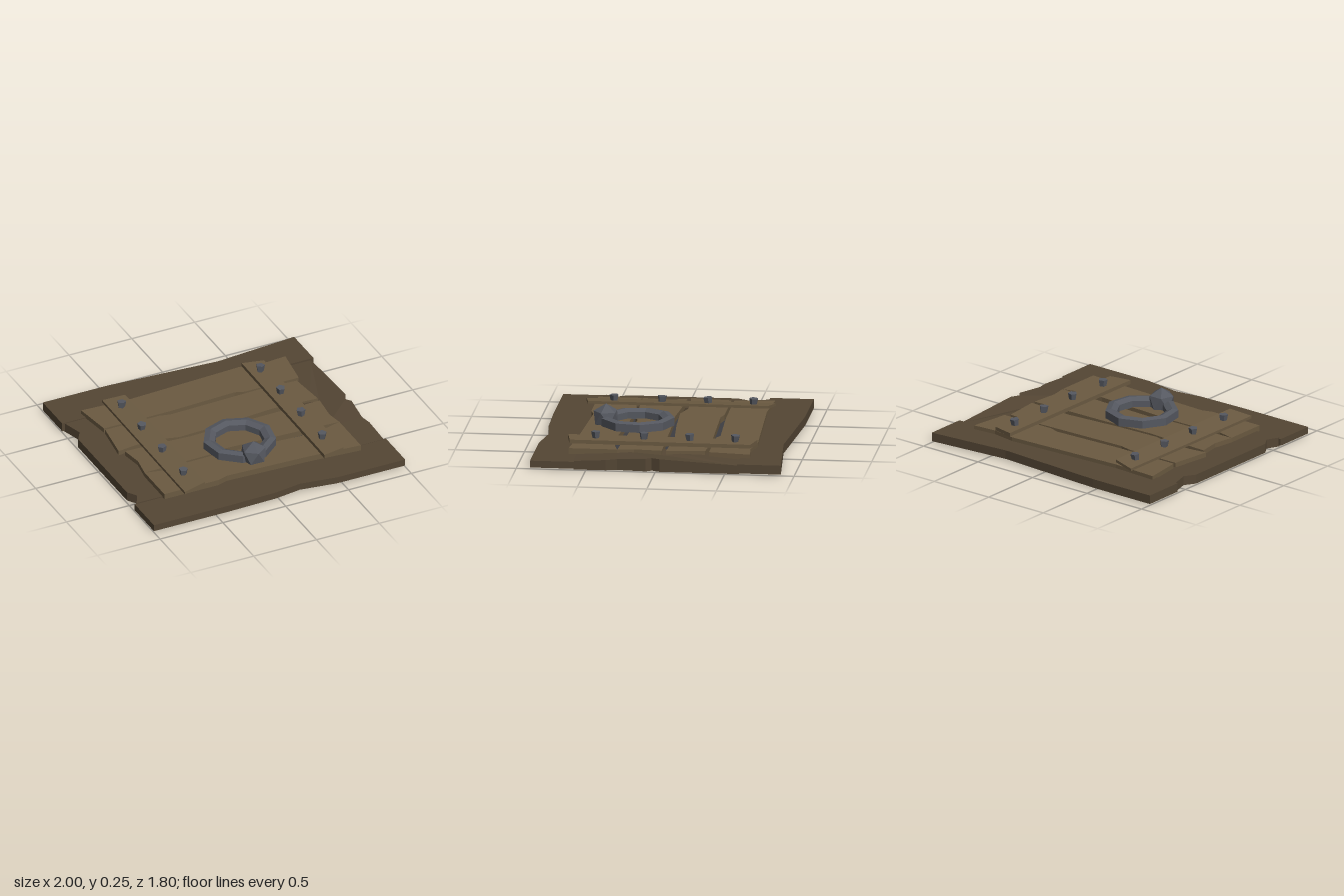
import * as THREE from 'three';

const material = (color) => new THREE.MeshStandardMaterial({ color, flatShading: true, side: THREE.DoubleSide });

// Board cut from a plan outline of [x, z] points between two heights.
// topRule(x, z) offsets the upper face; open removes the underside.
function board(name, outline, y0, y1, mat, { open = false, lift = null, topRule = null } = {}) {
  const shape = new THREE.Shape(outline.map(([x, z]) => new THREE.Vector2(x, -z)));
  let geo = new THREE.ExtrudeGeometry(shape, { depth: y1 - y0, bevelEnabled: false });
  geo.rotateX(-Math.PI / 2).translate(0, y0, 0);
  const p = geo.attributes.position;
  const kept = [];
  for (let i = 0; i < p.count; i += 3) {
    const corners = [i, i + 1, i + 2].map((k) => new THREE.Vector3().fromBufferAttribute(p, k));
    if (open && corners.every((c) => c.y < y0 + 1e-5)) continue;
    for (const c of corners) {
      const top = c.y > y1 - 1e-5;
      if (lift) c.y += lift(c.x, c.z);
      if (topRule && top) c.y += topRule(c.x, c.z);
      kept.push(c);
    }
  }
  geo = new THREE.BufferGeometry().setFromPoints(kept);
  geo.computeVertexNormals();
  const mesh = new THREE.Mesh(geo, mat);
  mesh.name = name;
  return mesh;
}

export function createModel() {
  const root = new THREE.Group();
  root.name = 'trapdoor';
  const darkWood = material(0x544634);
  const wood = material(0x6b5a41);
  const metal = material(0x555860);
  const shadow = material(0x3e3e42);

  // Outer frame of four rough boards, hollow underneath
  const frame = new THREE.Group();
  frame.name = 'frame';
  const ridge = (x, z) => 0.03 * Math.max(0, 1 - Math.max(0, Math.abs(z - 0.02) - 0.05) / 0.5);
  frame.add(
    board('backFrameBoard', [[-1, -0.905], [-0.48, -0.905], [0.37, -0.85], [1, -0.905], [1, -0.59], [-1, -0.59]],
      0.01, 0.075, darkWood, { open: true }),
    board('frontFrameBoard', [[-1, 0.585], [1, 0.585], [1, 0.9], [0.46, 0.9], [0.18, 0.86], [-0.02, 0.89], [-0.4, 0.9], [-1, 0.9]],
      0.01, 0.06, darkWood, { open: true }),
    board('rightFrameBoard', [[-0.98, -0.6], [-0.935, -0.44], [-0.985, -0.36], [-0.985, 0.43], [-0.94, 0.5], [-0.985, 0.59], [-0.66, 0.59], [-0.66, -0.6]],
      0, 0.068, darkWood, { open: true }),
    board('leftFrameBoard', [[0.66, -0.6], [0.98, -0.6], [0.98, -0.03], [0.95, 0.03], [0.98, 0.07], [0.96, 0.28], [0.98, 0.36], [0.98, 0.59], [0.66, 0.59], [0.66, 0.3], [0.66, 0.05]],
      0, 0.062, darkWood, { open: true, topRule: ridge }),
  );
  root.add(frame);

  // Dark backing seen through the gaps
  const backing = new THREE.Mesh(new THREE.PlaneGeometry(1.32, 1.18).rotateX(-Math.PI / 2), shadow);
  backing.name = 'backing';
  backing.position.y = 0.03;
  root.add(backing);

  // Four worn door planks
  const planks = new THREE.Group();
  planks.name = 'planks';
  [
    [[-0.82, -0.65], [-0.47, -0.63], [0.45, -0.675], [0.63, -0.645], [0.81, -0.66], [0.77, -0.36], [0.34, -0.36], [0.27, -0.385], [-0.27, -0.36], [-0.78, -0.36]],
    [[-0.78, -0.34], [-0.35, -0.34], [-0.27, -0.32], [0.5, -0.345], [0.74, -0.33], [0.77, -0.05], [0.42, -0.07], [0, -0.035], [-0.35, -0.02], [-0.5, -0.06], [-0.68, -0.06], [-0.82, -0.04]],
    [[-0.78, -0.02], [-0.5, -0.01], [-0.27, 0.005], [0.17, -0.01], [0.77, -0.02], [0.75, 0.18], [0.77, 0.3], [0.45, 0.285], [-0.12, 0.26], [-0.2, 0.285], [-0.78, 0.3], [-0.755, 0.14]],
    [[-0.78, 0.3], [-0.65, 0.33], [-0.47, 0.31], [-0.2, 0.305], [0.45, 0.35], [0.66, 0.33], [0.77, 0.3], [0.77, 0.65], [0.37, 0.62], [-0.27, 0.595], [-0.35, 0.62], [-0.78, 0.62]],
  ].forEach((outline, i) => planks.add(board(`plank${i + 1}`, outline, 0.06, 0.103, wood)));
  root.add(planks);

  // Two cross battens, one of them tilted
  root.add(
    board('rightBatten', [[-0.64, -0.675], [-0.475, -0.64], [-0.475, 0.66], [-0.65, 0.69]],
      0.105, 0.125, wood, { lift: (x) => (x + 0.645) * 0.12 }),
    board('leftBatten', [[0.47, -0.675], [0.63, -0.64], [0.625, 0.66], [0.46, 0.69]], 0.1, 0.13, wood),
  );

  // Five-sided nails along the battens
  const nails = new THREE.Group();
  nails.name = 'nails';
  const nailGeo = new THREE.CylinderGeometry(0.034, 0.024, 0.055, 5);
  for (const x of [-0.56, 0.545]) {
    [-0.525, -0.195, 0.135, 0.48].forEach((z, i) => {
      const nail = new THREE.Mesh(nailGeo, metal);
      nail.name = 'nail';
      nail.position.set(x, 0.15, z);
      nail.rotation.set(0.08 * (i % 2 ? 1 : -1), i * 0.5, 0.06 * (i % 3 - 1));
      nails.add(nail);
    });
  }
  root.add(nails);

  // Nine-sided pull ring
  const section = [[0.265, 0.1], [0.265, 0.16], [0.222, 0.17], [0.18, 0.15], [0.18, 0.1], [0.265, 0.1]];
  const ring = new THREE.Mesh(
    new THREE.LatheGeometry(section.map(([r, y]) => new THREE.Vector2(r, y)), 9, Math.PI), metal);
  ring.name = 'pullRing';
  ring.position.z = 0.245;
  root.add(ring);

  // Faceted knob holding the ring, one point upward
  const knob = new THREE.Mesh(
    new THREE.IcosahedronGeometry(0.1, 0).rotateX(-Math.atan2((1 + Math.sqrt(5)) / 2, 1)), metal);
  knob.name = 'ringKnob';
  knob.position.set(0, 0.149, 0.472);
  root.add(knob);

  return root;
}
